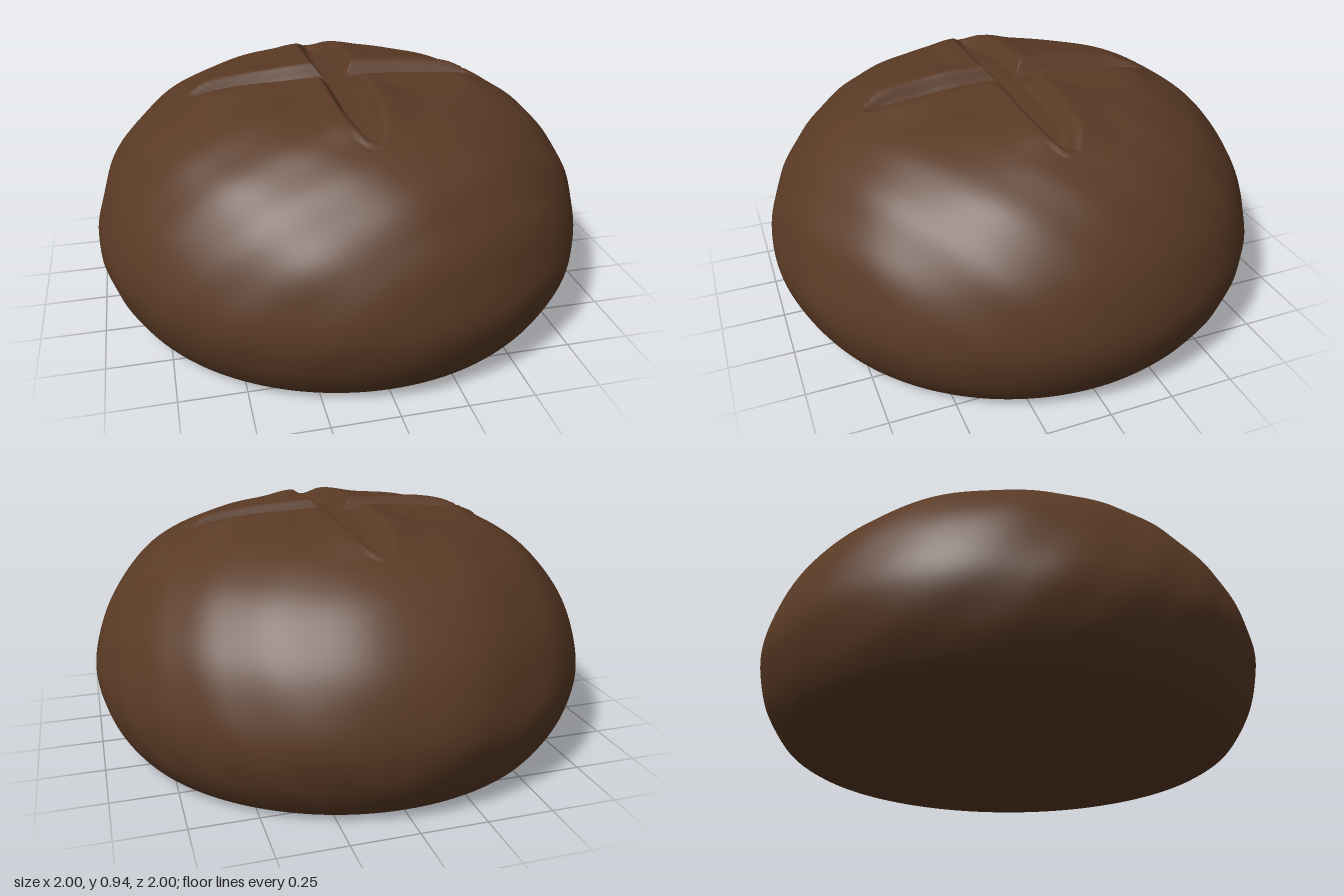
import * as THREE from 'three';
import { mergeVertices } from 'three/addons/utils/BufferGeometryUtils.js';

const SEGMENTS = 240;
const CUT_LENGTH = 0.62; // reach of each slash from the centre
const CUT_WIDTH = 0.1;   // half width of a slash at the centre

// Signed position across a slash: below 0 is inside, 0 is its rim
function rimDistance(along, across) {
  const t = Math.min(1, Math.abs(along) / CUT_LENGTH);
  const half = CUT_WIDTH * Math.sqrt(1 - t ** 4);
  const side = Math.abs(across) - half;
  const end = Math.abs(along) - CUT_LENGTH;
  return Math.max(side, end);
}

// Height change of the crust: a sunken cross with softly raised lips
function slashHeight(x, z) {
  const d = Math.min(rimDistance(x, z), rimDistance(z, x));
  const reach = Math.max(Math.abs(x), Math.abs(z));
  const fade = 1 - THREE.MathUtils.smoothstep(reach, 0.5, 0.66);
  const floor = -0.055 * (1 - THREE.MathUtils.smoothstep(d, -0.06, -0.008));
  const lip = 0.02 * Math.exp(-((Math.max(d, 0) / 0.09) ** 2));
  return (floor + lip) * (0.25 + 0.75 * fade) * (d > 0 ? fade : 1);
}

// Gentle unevenness of hand-shaped dough
function unevenness(x, y, z) {
  return 0.004 * Math.sin(5 * x + 3 * y + 1) * Math.cos(6 * z - 2 * y)
    + 0.0025 * Math.sin(13 * x - 7 * z + 9 * y)
    + 0.0015 * Math.sin(23 * z + 11 * x - 17 * y);
}

export function createModel() {
  const group = new THREE.Group();
  group.name = 'breadLoaf';
  const crust = new THREE.MeshStandardMaterial({ color: 0x5a3a25 });
  crust.name = 'dark crust';

  // Domed crust, turned from a profile running from the base to the top
  const profile = new THREE.SplineCurve([
    [0.84, 0], [0.895, 0.04], [0.96, 0.15], [0.995, 0.29], [0.975, 0.43],
    [0.915, 0.58], [0.8, 0.73], [0.68, 0.82], [0.55, 0.875], [0.4, 0.903],
    [0.2, 0.918], [0, 0.922],
  ].map(([r, y]) => new THREE.Vector2(r, y))).getSpacedPoints(115);
  profile[profile.length - 1].x = 0;
  let dome = new THREE.LatheGeometry(profile, SEGMENTS);
  dome.deleteAttribute('uv');
  dome.deleteAttribute('normal');
  dome = mergeVertices(dome, 1e-5);

  const pos = dome.attributes.position;
  for (let i = 0; i < pos.count; i++) {
    const x = pos.getX(i), y = pos.getY(i), z = pos.getZ(i);
    const lift = THREE.MathUtils.smoothstep(y, 0, 0.2);
    const scale = 1 + unevenness(x, y, z) * lift;
    const cut = y > 0.6 ? slashHeight(x, z) : 0;
    pos.setXYZ(i, x * scale, y * scale + cut, z * scale);
  }
  dome.computeVertexNormals();
  const domeMesh = new THREE.Mesh(dome, crust);
  domeMesh.name = 'scoredCrust';
  group.add(domeMesh);

  // Flat underside
  const base = new THREE.Mesh(new THREE.CircleGeometry(0.84, SEGMENTS), crust);
  base.rotation.x = Math.PI / 2;
  base.name = 'flatBase';
  group.add(base);

  return group;
}
